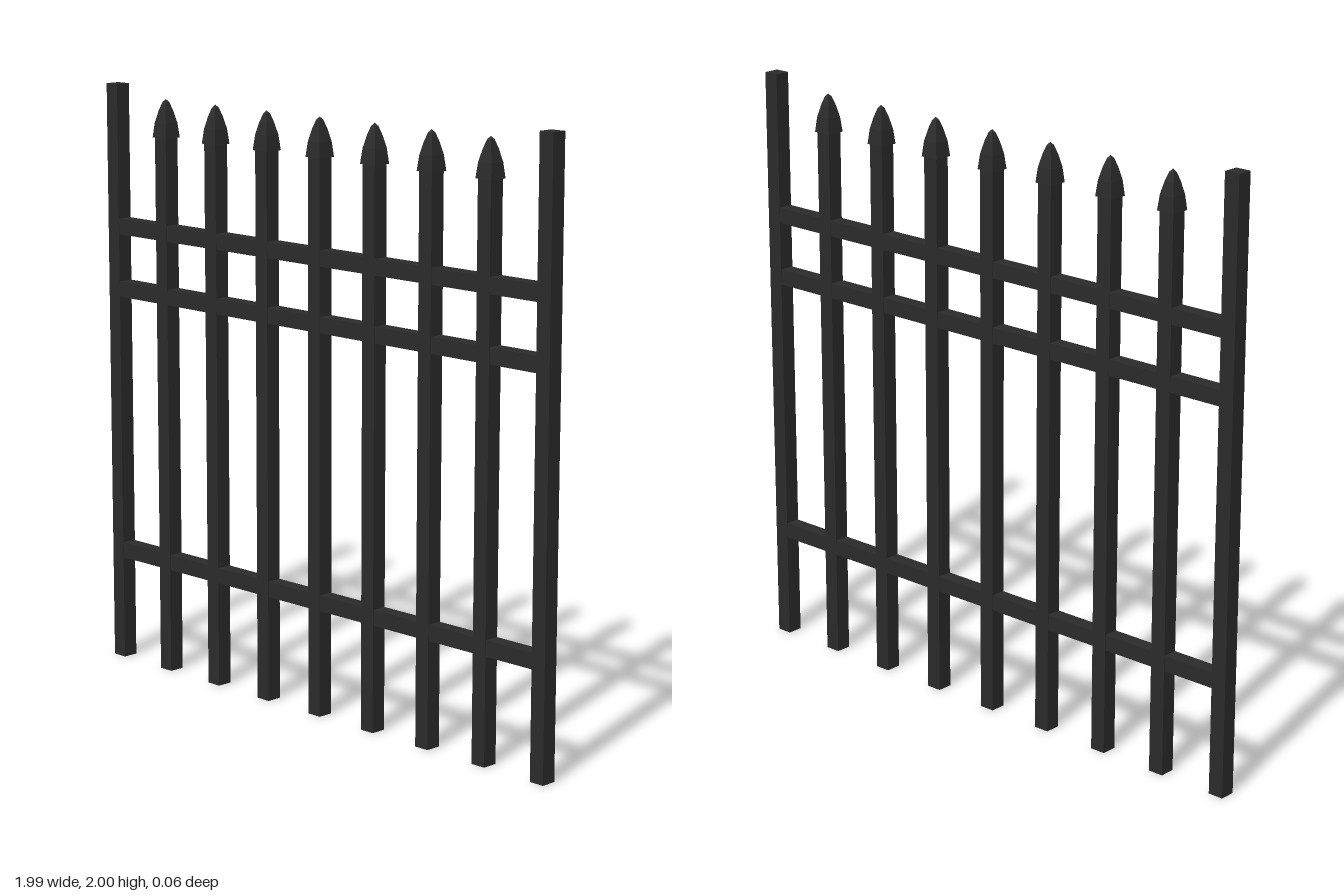
import * as THREE from 'three';

export function createModel() {
  const group = new THREE.Group();
  const iron = new THREE.MeshStandardMaterial({ color: 0x2b2b2b, flatShading: true });
  const bar = 0.053, spacing = 0.242, halfSpan = 4 * spacing;

  const add = (name, geometry, x, y) => {
    const mesh = new THREE.Mesh(geometry, iron);
    mesh.name = name;
    mesh.position.set(x, y, 0);
    group.add(mesh);
  };

  // End posts
  const postGeometry = new THREE.BoxGeometry(bar, 2, bar);
  for (const side of [-1, 1]) add(side > 0 ? 'leftPost' : 'rightPost', postGeometry, side * halfSpan, 1);

  // Horizontal rails, running between the posts
  const railGeometry = new THREE.BoxGeometry(2 * halfSpan - bar, bar, 0.05);
  [['bottomRail', 0.385], ['middleRail', 1.303], ['topRail', 1.518]]
    .forEach(([name, y]) => add(name, railGeometry, 0, y));

  // Four-sided spear head: [half width, height above its base]
  const profile = [[0, 0], [0.032, 0], [0.0265, 0.05], [0.017, 0.09], [0.008, 0.118], [0, 0.128]]
    .map(([half, y]) => new THREE.Vector2(half * Math.SQRT2, y));
  const spearGeometry = new THREE.LatheGeometry(profile, 4).rotateY(Math.PI / 4);

  // Square pickets topped with spear heads
  const picketHeight = 1.85;
  const picketGeometry = new THREE.BoxGeometry(bar, picketHeight, bar);
  for (let i = -3; i <= 3; i++) {
    add('picket', picketGeometry, i * spacing, picketHeight / 2);
    add('spearHead', spearGeometry, i * spacing, 1.837);
  }
  return group;
}
